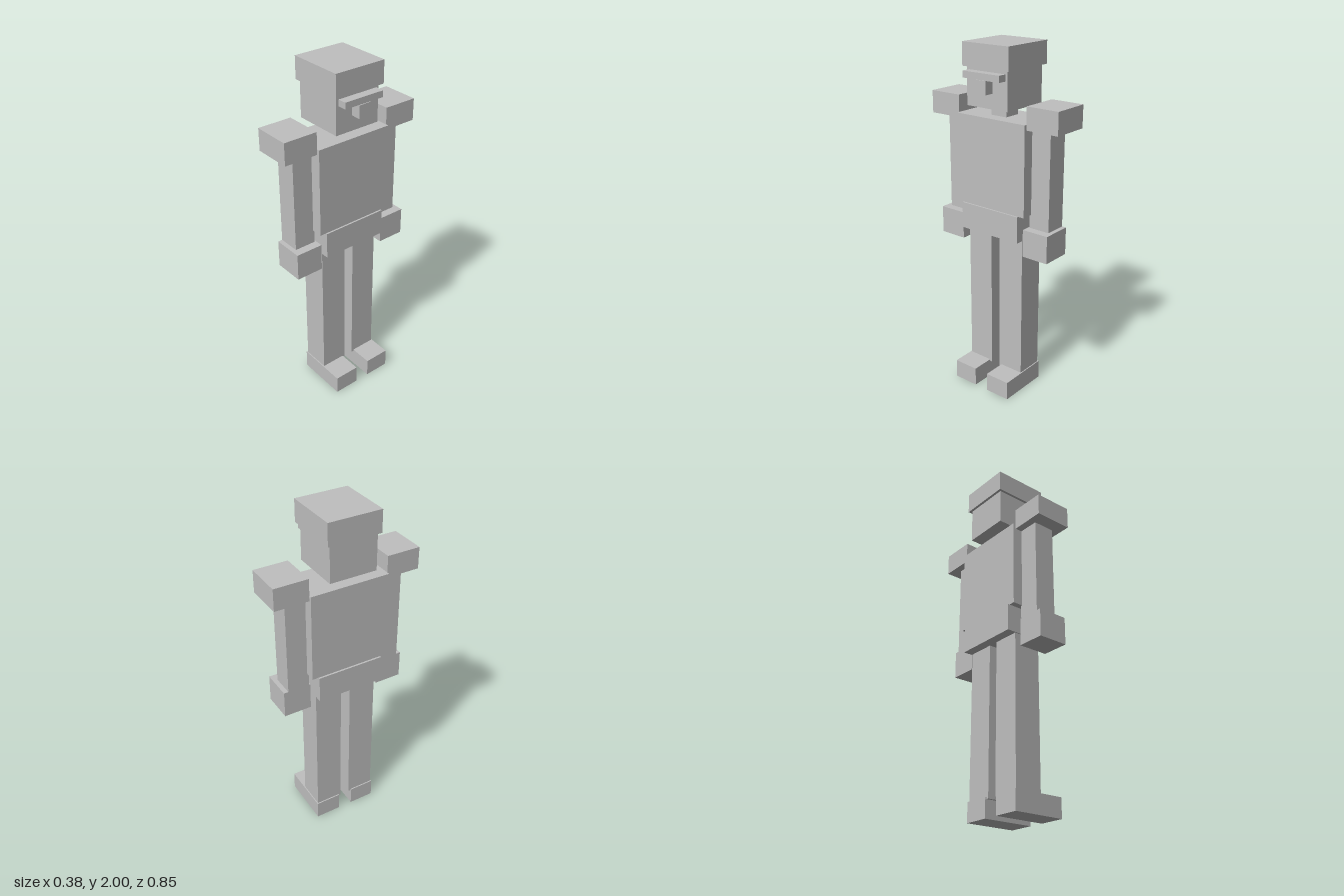
import * as THREE from 'three';

export function createModel() {
  const model = new THREE.Group();
  model.name = 'blockFigure';
  const grey = new THREE.MeshStandardMaterial({ color: 0xbfbfbf });
  grey.name = 'light grey';

  // Adds a box given its [min, max] extents on each axis
  function block(name, [x0, x1], [y0, y1], [z0, z1]) {
    const mesh = new THREE.Mesh(new THREE.BoxGeometry(x1 - x0, y1 - y0, z1 - z0), grey);
    mesh.position.set((x0 + x1) / 2, (y0 + y1) / 2, (z0 + z1) / 2);
    mesh.name = name;
    model.add(mesh);
  }

  // Adds a mirrored pair of blocks, one on each side of the body
  function pair(name, x, y, [z0, z1]) {
    block(name + 'A', x, y, [z0, z1]);
    block(name + 'B', x, y, [-z1, -z0]);
  }

  // Head, with the face towards +x
  block('cap', [-0.19, 0.135], [1.875, 2], [-0.154, 0.152]);
  block('head', [-0.175, 0.117], [1.667, 1.875], [-0.135, 0.137]);
  block('brow', [0.117, 0.168], [1.822, 1.858], [-0.121, 0.121]);
  block('nose', [0.117, 0.173], [1.75, 1.822], [-0.037, 0.035]);
  block('neck', [-0.08, 0.02], [1.605, 1.667], [-0.05, 0.052]);

  // Body
  block('torso', [-0.154, 0.097], [1.105, 1.61], [-0.231, 0.23]);
  block('hips', [-0.165, 0.107], [0.953, 1.105], [-0.195, 0.195]);

  // Arms
  pair('shoulder', [-0.138, 0.081], [1.58, 1.705], [0.23, 0.426]);
  pair('arm', [-0.095, 0.032], [1.03, 1.58], [0.222, 0.348]);
  pair('hand', [-0.095, 0.081], [0.873, 1.03], [0.214, 0.374]);

  // Legs
  pair('leg', [-0.11, 0.053], [0.1, 0.953], [0.029, 0.189]);
  pair('shoe', [-0.117, 0.188], [0, 0.11], [0.044, 0.195]);

  return model;
}
